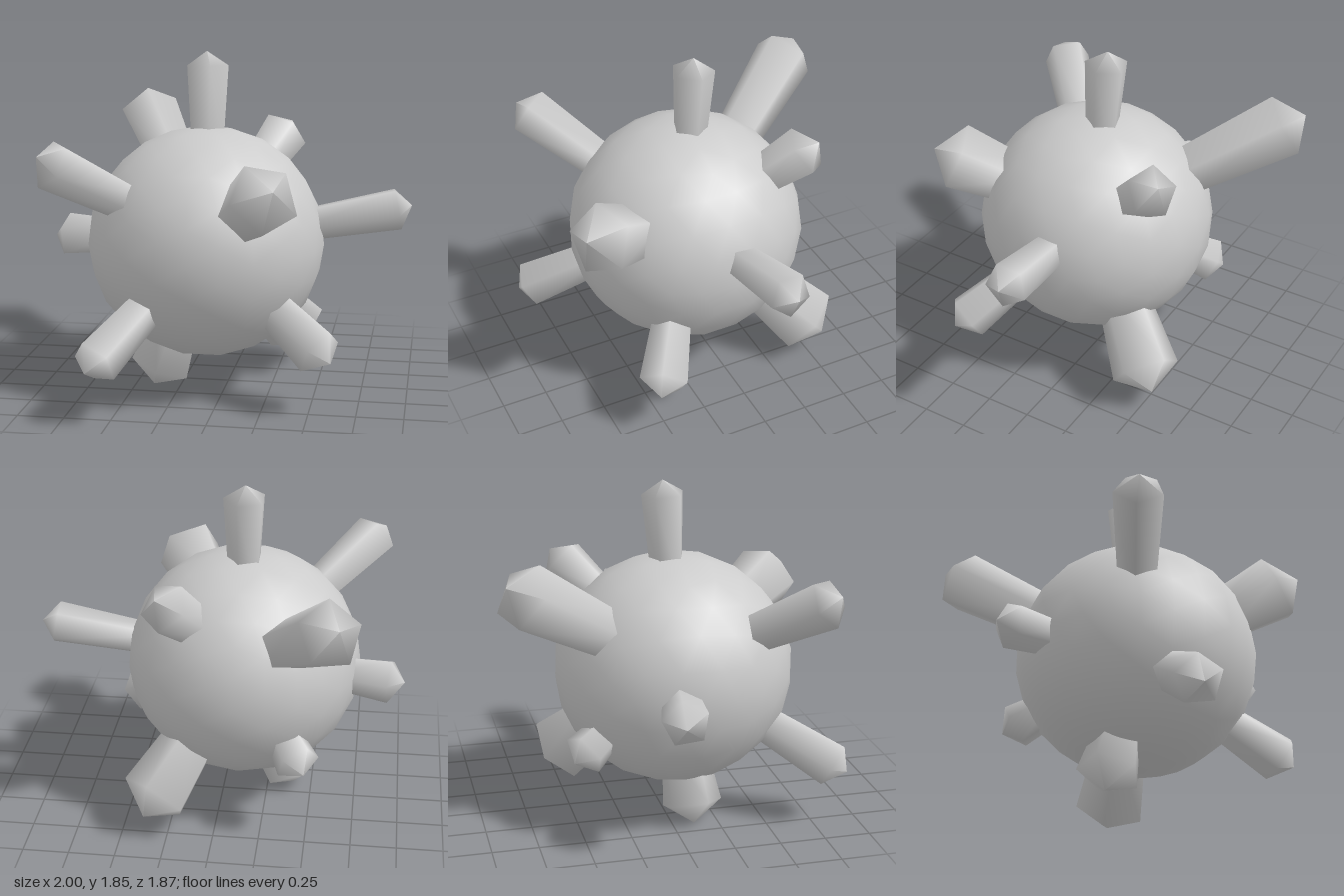
import * as THREE from 'three';

const material = new THREE.MeshStandardMaterial({ color: 0xcccccc });
const CENTER = new THREE.Vector3(-0.11, 0.83, 0.07);

// Five-sided spike that widens outward and ends in a blunt point
function makeSpike(name, tip, radius) {
  const dir = new THREE.Vector3(...tip).sub(CENTER);
  const length = dir.length();
  const profile = [
    new THREE.Vector2(radius * 0.74, 0.45),
    new THREE.Vector2(radius, length - radius * 0.65),
    new THREE.Vector2(0, length),
  ];
  const geometry = new THREE.LatheGeometry(profile, 5);
  geometry.rotateY(Math.PI / 2);
  const spike = new THREE.Mesh(geometry, material);
  spike.name = name;
  spike.position.copy(CENTER);
  spike.quaternion.setFromUnitVectors(new THREE.Vector3(0, 1, 0), dir.normalize());
  return spike;
}

export function createModel() {
  const group = new THREE.Group();
  group.name = 'spikedBall';

  // Rounded core
  const body = new THREE.Mesh(new THREE.IcosahedronGeometry(1, 3), material);
  body.name = 'body';
  body.position.copy(CENTER);
  body.scale.set(0.645, 0.63, 0.65);
  group.add(body);

  // Spikes: name, tip position, shoulder radius
  const spikes = [
    ['topSpike', [-0.115, 1.86, 0.01], 0.118],
    ['leftSpike', [1.0, 1.04, -0.03], 0.12],
    ['rightSpike', [-1.0, 0.8, -0.08], 0.125],
    ['upperFrontRightSpike', [-0.86, 1.38, 0.75], 0.135],
    ['upperFrontLeftSpike', [0.35, 1.25, 0.83], 0.19],
    ['upperBackRightSpike', [-0.66, 1.48, -0.9], 0.175],
    ['upperBackLeftSpike', [0.29, 1.42, -0.53], 0.14],
    ['lowerBackLeftSpike', [0.37, 0.15, -0.57], 0.195],
    ['lowerFrontRightSpike', [-0.59, 0.31, 0.92], 0.13],
    ['lowerFrontLeftSpike', [0.62, 0.31, 0.56], 0.135],
    ['bottomSpike', [-0.4, 0.01, 0.12], 0.17],
    ['lowerBackRightSpike', [-0.49, 0.46, -0.55], 0.125],
  ];
  for (const [name, tip, radius] of spikes) group.add(makeSpike(name, tip, radius));

  return group;
}
